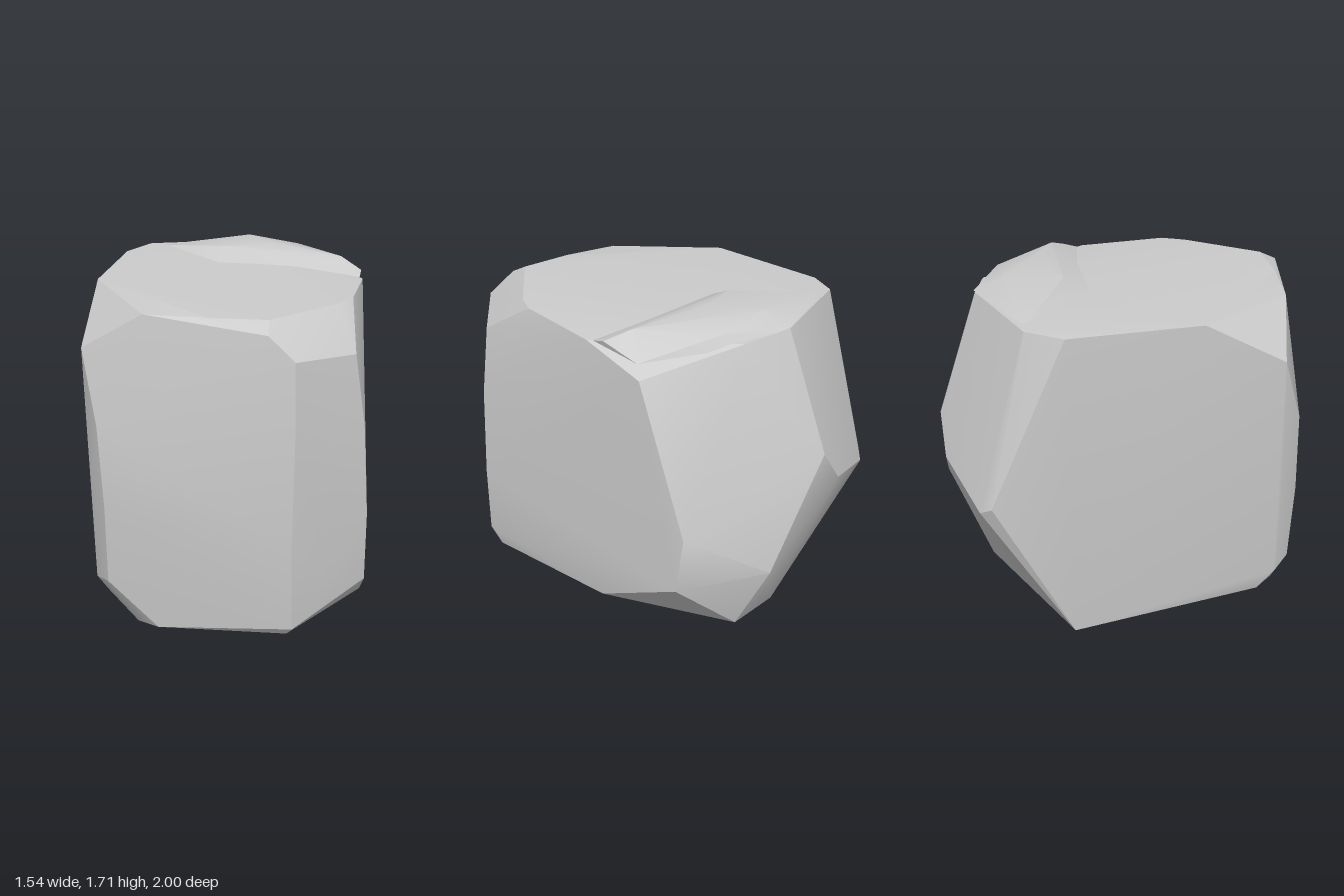
import * as THREE from 'three';
import { ConvexGeometry } from 'three/addons/geometries/ConvexGeometry.js';
import { toCreasedNormals } from 'three/addons/utils/BufferGeometryUtils.js';

const material = new THREE.MeshStandardMaterial({ color: 0xcccccc, roughness: 0.9 });

// A chiselled stone chunk: the hull of its corners, with gentle edges softened
function stone(name, corners) {
  const points = corners.map(([x, y, z]) => new THREE.Vector3(x, y, z));
  const mesh = new THREE.Mesh(toCreasedNormals(new ConvexGeometry(points), 0.4), material);
  mesh.name = name;
  return mesh;
}

export function createModel() {
  const group = new THREE.Group();
  group.name = 'boulder';

  // Sloping underside
  const underside = [
    [-0.56, 0, 0.28], [-0.55, 0.03, -0.55], [-0.55, 0.02, 0.58], [-0.45, 0.04, 0.68],
    [0.15, 0.14, 0.94], [0.54, 0.21, 0.67], [0.69, 0.27, -0.1],
    [0.45, 0.19, -0.72], [0.12, 0.14, -0.75], [-0.7, 0.1, 0.4],
  ];
  // Corners around the walls
  const walls = [
    [0.17, 0.19, 0.985], [0.16, 0.6, 1.0], [0.17, 1.1, 0.98], [0.17, 1.48, 0.94],
    [0.36, 0.4, 0.875], [0.55, 0.3, 0.73], [0.55, 0.65, 0.73], [0.52, 1.1, 0.73], [0.47, 1.44, 0.72],
    [0.77, 0.52, -0.57], [0.755, 0.8, -0.6], [0.68, 1.5, -0.32],
    [0.42, 0.53, -0.88], [0.1, 1.05, -0.975], [-0.03, 0.87, -1.0],
    [-0.48, 0.8, -0.92], [-0.42, 0.76, -0.96],
    [-0.75, 0.22, 0.47], [-0.755, 0.65, 0.48], [-0.77, 1.41, 0.44],
    [-0.69, 0.25, 0.58], [-0.69, 0.65, 0.6], [-0.71, 1.07, 0.575],
  ];
  // Rim of the nearly flat top
  const rim = [
    [-0.57, 1.63, -0.57], [-0.44, 1.64, -0.71], [0.1, 1.64, -0.76], [0.32, 1.62, -0.65],
    [0.62, 1.6, 0], [0.5, 1.62, 0.42], [0.42, 1.62, 0.52], [0.07, 1.625, 0.78],
    [0.06, 1.58, 0.87], [-0.2, 1.62, 0.71], [-0.48, 1.61, 0.6], [-0.7, 1.635, 0.05],
  ];
  group.add(stone('boulderBody', [...underside, ...walls, ...rim]));

  // Raised slab behind the crack on the top
  group.add(stone('raisedSlab', [
    [-0.1, 1.63, -0.24], [-0.03, 1.695, -0.36], [0.2, 1.705, -0.38], [0.1, 1.7, -0.62],
    [0.54, 1.67, -0.2], [0.63, 1.62, -0.1], [0.61, 1.6, -0.03], [0.66, 1.57, -0.3],
    [0.36, 1.66, -0.56], [0.1, 1.65, -0.765], [0.3, 1.6, -0.65], [-0.38, 1.635, -0.69],
  ]));
  return group;
}
